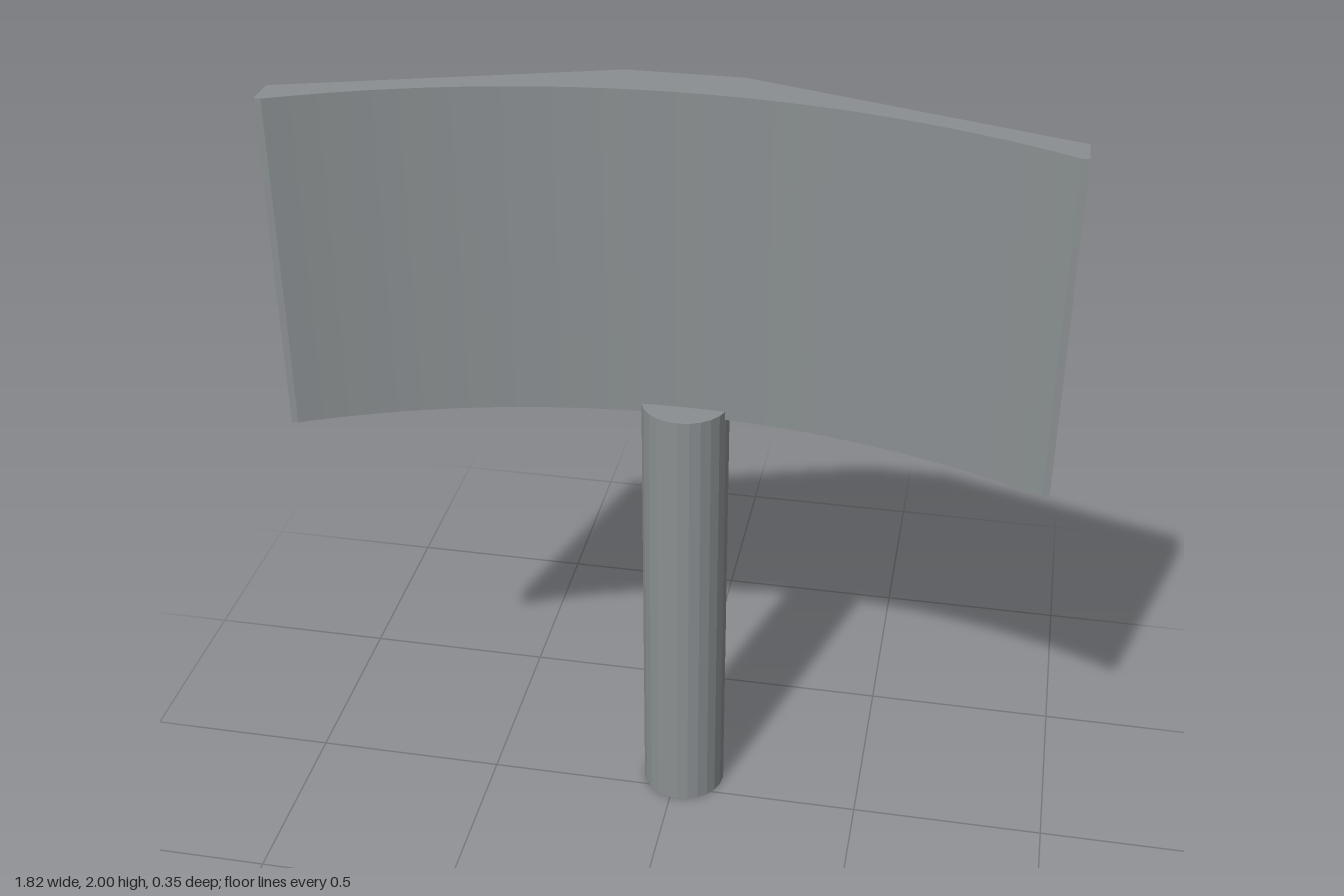
import * as THREE from 'three';

const material = new THREE.MeshStandardMaterial({ color: 0x8a8f91, flatShading: true });

// Plan dimensions of the panel (x, z)
const HALF = 0.912, TIP = 0.895, FRONT_END = 0.174, FRONT_MID = -0.036;
const BACK_END = 0.094, BACK_MID = -0.152, FOLD = 0.14, POCKET_FLOOR = -0.092;

// Plan outline: curved front, folded back, optionally notched for the pockets
function planShape(withPockets) {
  const pts = [];
  const sag = FRONT_END - FRONT_MID;
  const r = (TIP * TIP + sag * sag) / (2 * sag);
  const steps = 32;
  for (let i = 0; i <= steps; i++) {
    const x = -TIP + (2 * TIP * i) / steps;
    pts.push([x, FRONT_MID + r - Math.sqrt(r * r - x * x)]);
  }
  const slope = (BACK_END - BACK_MID) / (HALF - FOLD);
  const pocketEnd = FOLD + (POCKET_FLOOR - BACK_MID) / slope;
  const side = [[HALF, FRONT_END], [HALF, BACK_END]];
  if (withPockets) side.push([pocketEnd, POCKET_FLOOR], [FOLD, POCKET_FLOOR]);
  side.push([FOLD, BACK_MID]);
  pts.push(...side, ...side.map(([x, z]) => [-x, z]).reverse());
  return new THREE.Shape(pts.map(([x, z]) => new THREE.Vector2(x, -z)));
}

function panelBand(name, y0, y1, withPockets) {
  const geo = new THREE.ExtrudeGeometry(planShape(withPockets), { depth: y1 - y0, bevelEnabled: false });
  geo.rotateX(-Math.PI / 2);
  geo.translate(0, y0, 0);
  const mesh = new THREE.Mesh(geo, material);
  mesh.name = name;
  return mesh;
}

export function createModel() {
  const model = new THREE.Group();
  model.name = 'panelOnPost';

  // Curved panel, stacked in bands so the middle one carries the two back pockets
  const panel = new THREE.Group();
  panel.name = 'panel';
  panel.add(
    panelBand('panelBottom', 1.168, 1.37, false),
    panelBand('panelPocketBand', 1.37, 1.8, true),
    panelBand('panelTop', 1.8, 2, false)
  );

  // Round post, reaching slightly into the panel
  const post = new THREE.Mesh(new THREE.CylinderGeometry(0.109, 0.109, 1.19, 24), material);
  post.name = 'post';
  post.position.set(0.02, 0.595, -0.065);

  model.add(panel, post);
  return model;
}
